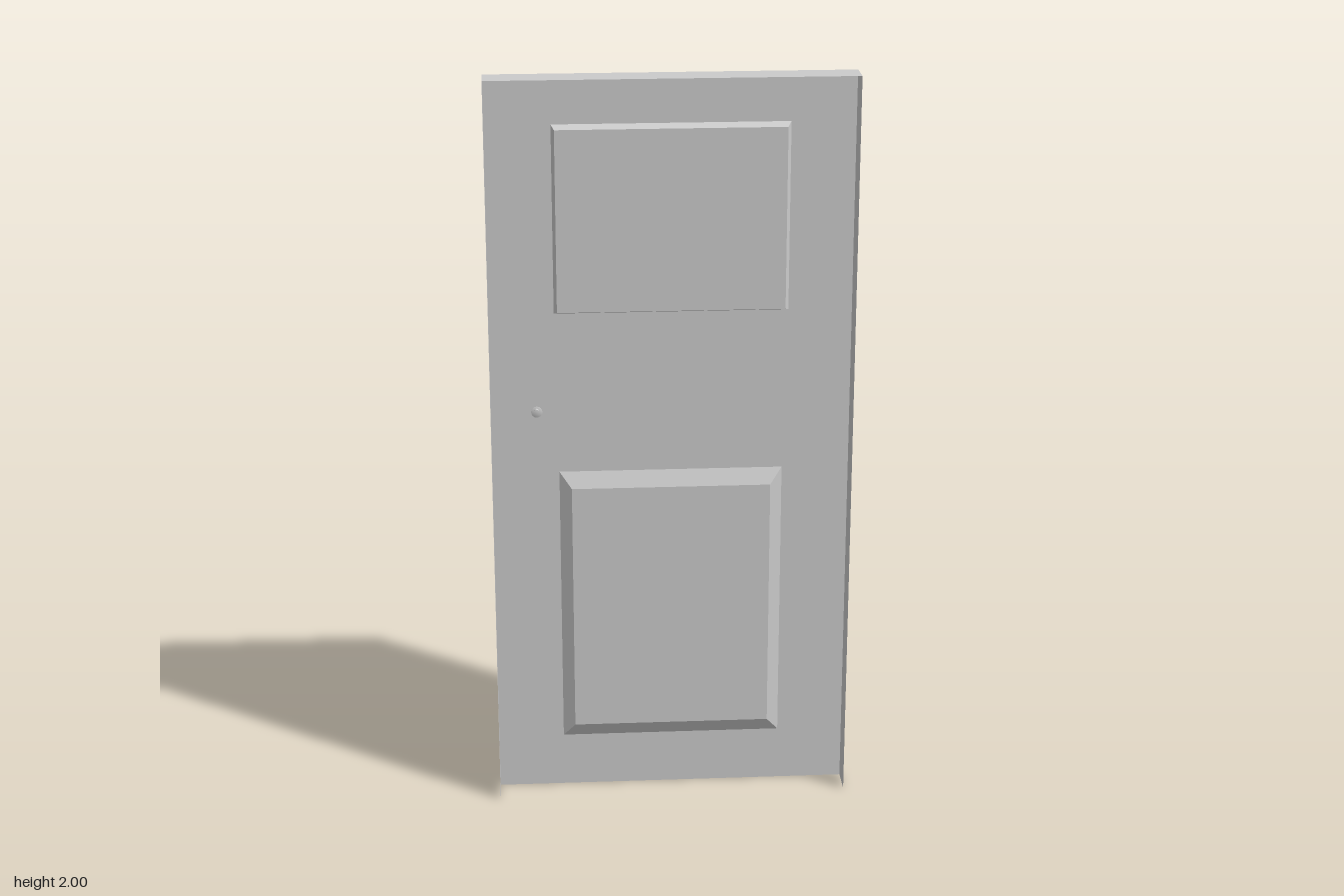
import * as THREE from 'three';

const sheet = new THREE.MeshStandardMaterial({ color: 0xcccccc, side: THREE.DoubleSide });
const W = 0.475, H = 2, DEPTH = 0.08;

function part(name, geometry, parent) {
  const mesh = new THREE.Mesh(geometry, sheet);
  mesh.name = name;
  parent.add(mesh);
  return mesh;
}

// Rectangle corners, counter-clockwise from the front
const corners = ([x0, y0, x1, y1], z) => [[x0, y0, z], [x1, y0, z], [x1, y1, z], [x0, y1, z]];

// Band of flat quads joining two rectangles at different depths
function band(rectA, zA, rectB, zB, sides = [0, 1, 2, 3]) {
  const a = corners(rectA, zA), b = corners(rectB, zB), pos = [];
  for (const i of sides) {
    const j = (i + 1) % 4;
    pos.push(...a[i], ...a[j], ...b[j], ...a[i], ...b[j], ...b[i]);
  }
  const g = new THREE.BufferGeometry();
  g.setAttribute('position', new THREE.Float32BufferAttribute(pos, 3));
  g.computeVertexNormals();
  return g;
}

function rectPath(PathType, [x0, y0, x1, y1]) {
  return new PathType([[x0, y0], [x1, y0], [x1, y1], [x0, y1]].map(p => new THREE.Vector2(...p)));
}

// Strap with oval sections swept along a curve in the yz plane
function strap(points, x, widthAt, thickAt, steps = 40, around = 12) {
  const curve = new THREE.CatmullRomCurve3(points.map(([y, z]) => new THREE.Vector3(x, y, z)));
  const pos = [], index = [];
  for (let i = 0; i <= steps; i++) {
    const t = i / steps, p = curve.getPointAt(t), d = curve.getTangentAt(t);
    for (let k = 0; k < around; k++) {
      const a = k / around * Math.PI * 2;
      const u = Math.cos(a) * widthAt(t), v = Math.sin(a) * thickAt(t);
      pos.push(p.x + u, p.y - d.z * v, p.z + d.y * v);
      if (i < steps) {
        const n = (k + 1) % around, q = i * around;
        index.push(q + k, q + n, q + around + k, q + n, q + around + n, q + around + k);
      }
    }
  }
  const g = new THREE.BufferGeometry();
  g.setAttribute('position', new THREE.Float32BufferAttribute(pos, 3));
  g.setIndex(index);
  g.computeVertexNormals();
  return g;
}

export function createModel() {
  const door = new THREE.Group();
  door.name = 'door';
  const face = [-W, 0, W, H];

  // Each panel is pressed towards the front
  const panels = [
    { name: 'window', outer: [-0.305, 1.37, 0.308, 1.87], inner: [-0.297, 1.378, 0.298, 1.86], z: 0.022 },
    { name: 'lowerPanel', outer: [-0.297, 0.15, 0.297, 0.93], inner: [-0.265, 0.19, 0.265, 0.887], z: 0.02 },
  ];

  // Outer sheet with panel openings
  const shape = rectPath(THREE.Shape, face);
  for (const p of panels) shape.holes.push(rectPath(THREE.Path, p.outer));
  part('doorSheet', new THREE.ShapeGeometry(shape), door);

  // Side and top returns; front and bottom stay open
  part('edgeFlanges', band(face, DEPTH, face, 0, [1, 2, 3]), door);

  for (const p of panels) {
    part(p.name + 'Bevel', band(p.outer, 0, p.inner, p.z), door);
    part(p.name + 'Face', new THREE.ShapeGeometry(rectPath(THREE.Shape, p.inner)), door).position.z = p.z;
  }

  // Lock disc on the back
  const lock = part('lockDisc', new THREE.CylinderGeometry(0.022, 0.022, 0.008, 24), door);
  lock.rotation.x = Math.PI / 2;
  lock.position.set(-0.382, 1.187, -0.004);

  // Pull handle on the back
  const handle = new THREE.Group();
  handle.name = 'pullHandle';
  door.add(handle);
  const hx = -0.354;
  const bump = (t, c, w) => Math.exp(-(((t - c) / w) ** 2));
  part('handleGrip', strap(
    [[1.1, 0], [1.116, -0.022], [1.1, -0.052], [1.05, -0.07], [1, -0.074], [0.955, -0.06], [0.93, -0.04], [0.94, -0.018], [0.948, 0]],
    hx,
    t => 0.007 + 0.008 * bump(t, 0.5, 0.22),
    t => 0.0035 + 0.006 * bump(t, 0, 0.08) + 0.006 * bump(t, 1, 0.08)), handle);

  // Round upper foot and square lower foot, flared at the sheet
  const profile = [[0, 0.002], [0.015, 0.002], [0.015, -0.003], [0.011, -0.008], [0.007, -0.016], [0, -0.018]];
  const foot = new THREE.LatheGeometry(profile.map(p => new THREE.Vector2(...p)), 16);
  const upper = part('upperFoot', foot, handle);
  upper.rotation.x = Math.PI / 2;
  upper.position.set(hx, 1.1, 0);
  const block = new THREE.CylinderGeometry(0.013, 0.024, 0.018, 4, 1).rotateY(Math.PI / 4).toNonIndexed();
  block.computeVertexNormals();
  const lower = part('lowerFoot', block, handle);
  lower.rotation.x = -Math.PI / 2;
  lower.scale.z = 1.3;
  lower.position.set(hx, 0.945, -0.007);
  return door;
}
